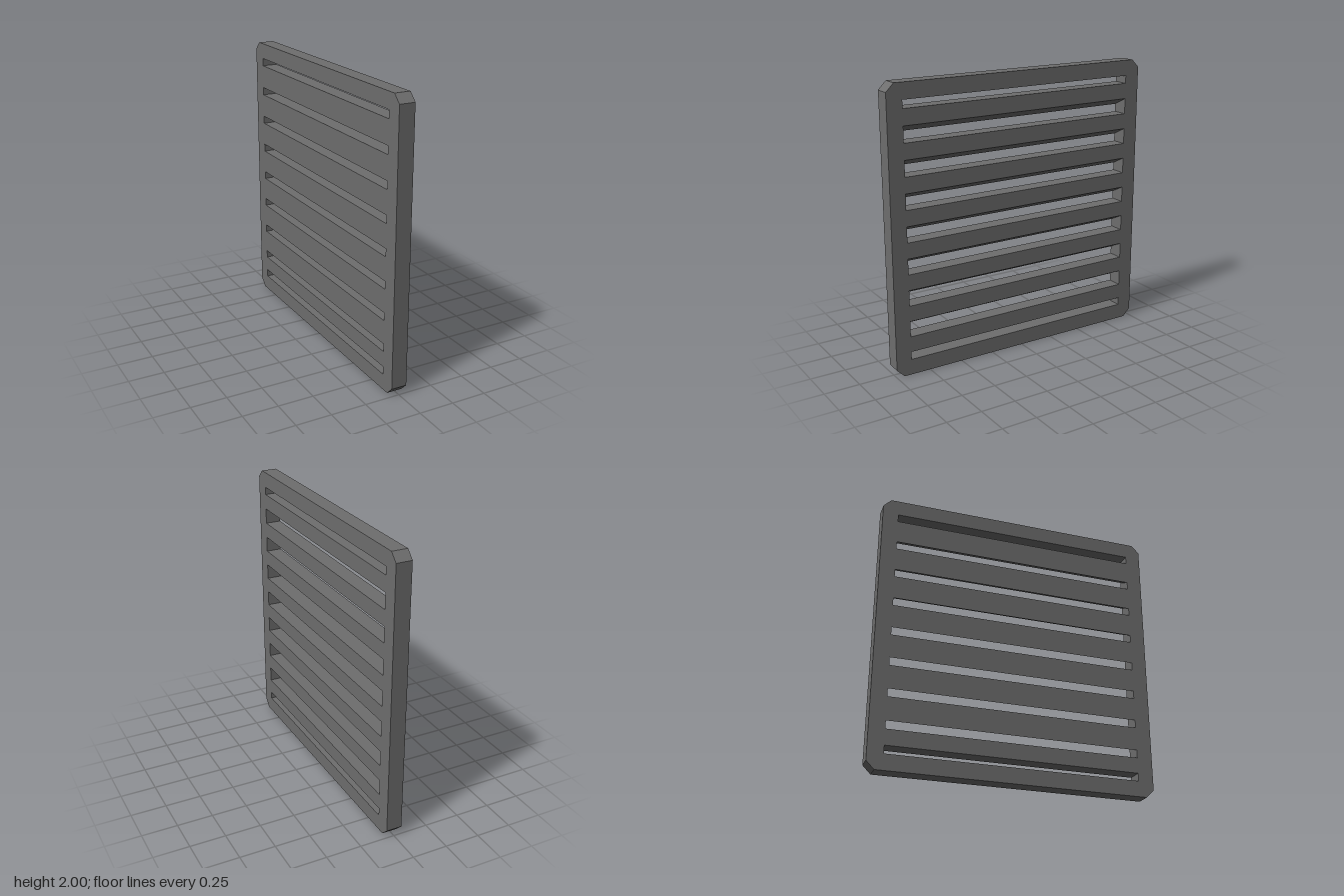
import * as THREE from 'three';

const U = 2 / 36; // base module: chamfer size, half thickness and slot height

const toVectors = (pts) => pts.map(([x, y]) => new THREE.Vector2(x * U, y * U));

// Extrudes an outline given in modules, centred along its depth
function extrude(outline, depth, hole) {
  const shape = new THREE.Shape(toVectors(outline));
  if (hole) shape.holes.push(new THREE.Path(toVectors(hole)));
  const geometry = new THREE.ExtrudeGeometry(shape, { depth: depth * U, bevelEnabled: false });
  return geometry.translate(0, 0, -depth * U / 2);
}

export function createModel() {
  const group = new THREE.Group();
  group.name = 'louvredPanel';
  const material = new THREE.MeshStandardMaterial({ color: 0x6e6e6e, flatShading: true });

  const add = (name, geometry) => {
    const mesh = new THREE.Mesh(geometry, material);
    mesh.name = name;
    group.add(mesh);
  };

  // Square frame with chamfered corners, turned to lie in the YZ plane
  const frame = extrude(
    [[-17, 0], [17, 0], [18, 1], [18, 35], [17, 36], [-17, 36], [-18, 35], [-18, 1]],
    2,
    [[-16, 2], [-16, 34], [16, 34], [16, 2]],
  );
  add('frame', frame.rotateY(-Math.PI / 2));

  // Slats: flat tops; all but the lowest have an underside rising towards +x
  for (let i = 0; i < 8; i++) {
    const top = 5 + 4 * i;
    const low = i === 0 ? top - 2 : top - 3;
    add(`slat${i + 1}`, extrude([[-1, low], [1, top - 2], [1, top], [-1, top]], 32));
  }

  return group;
}
